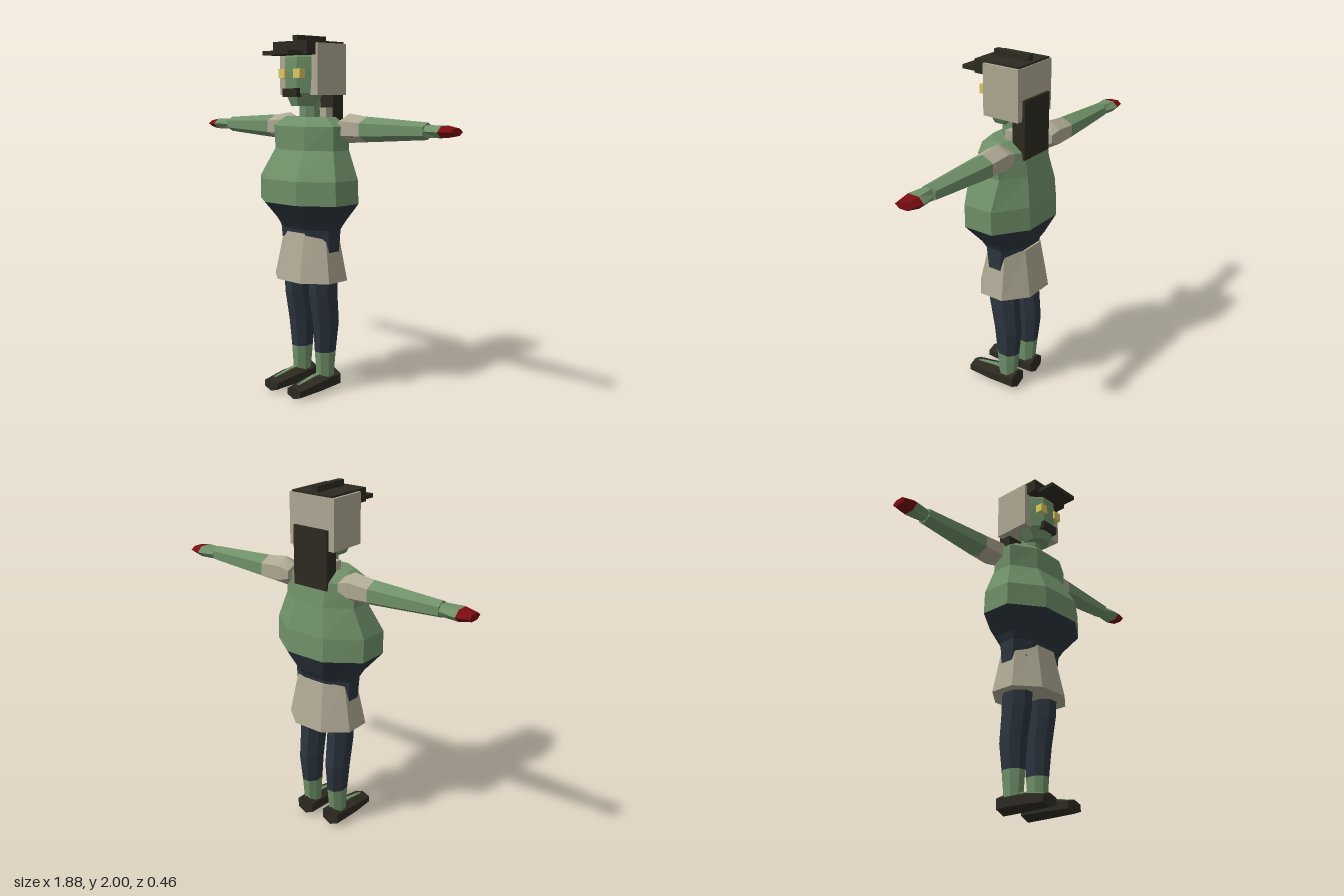
import * as THREE from 'three';

function paint(name, color) {
  const m = new THREE.MeshStandardMaterial({ color });
  m.name = name;
  return m;
}

// Closed faceted loft; each ring is [h, centreA, centreB, halfA, halfB].
// Axis y: A = x, B = z. Axis x: A = y, B = z. Axis z: A = x, B = y.
function loft(axis, rings, sides = 8, phase = Math.PI / sides) {
  const place = {
    x: (h, a, b) => [h, a, b],
    y: (h, a, b) => [a, h, b],
    z: (h, a, b) => [a, b, h],
  }[axis];
  const sign = axis === 'y' ? -1 : 1;
  const unit = [];
  for (let i = 0; i < sides; i++) {
    const t = phase + (i / sides) * Math.PI * 2;
    unit.push([Math.cos(t), sign * Math.sin(t)]);
  }
  const maxA = Math.max(...unit.map((u) => Math.abs(u[0])));
  const maxB = Math.max(...unit.map((u) => Math.abs(u[1])));
  const loops = rings.map(([h, ca, cb, ra, rb]) =>
    unit.map(([a, b]) => place(h, ca + (ra * a) / maxA, cb + (rb * b) / maxB)));
  const centres = rings.map(([h, ca, cb]) => place(h, ca, cb));
  const last = rings.length - 1;
  const pos = [];
  for (let i = 0; i < sides; i++) {
    const j = (i + 1) % sides;
    for (let r = 0; r < last; r++) {
      const [p, q] = [loops[r], loops[r + 1]];
      pos.push(...p[i], ...p[j], ...q[j], ...p[i], ...q[j], ...q[i]);
    }
    pos.push(...centres[0], ...loops[0][j], ...loops[0][i]);
    pos.push(...centres[last], ...loops[last][i], ...loops[last][j]);
  }
  const g = new THREE.BufferGeometry();
  g.setAttribute('position', new THREE.Float32BufferAttribute(pos, 3));
  g.computeVertexNormals();
  return g;
}

// Box given by its limits on each axis
function block(x0, x1, y0, y1, z0, z1) {
  return new THREE.BoxGeometry(x1 - x0, y1 - y0, z1 - z0)
    .translate((x0 + x1) / 2, (y0 + y1) / 2, (z0 + z1) / 2);
}

export function createModel() {
  const green = paint('green skin', 0x6f9068);
  const beige = paint('beige cloth', 0xaea893);
  const navy = paint('navy cloth', 0x2c353f);
  const dark = paint('dark leather', 0x2c2a20);
  const red = paint('red fingertips', 0x7a0c12);
  const yellow = paint('yellow eyes', 0xd8c860);

  const model = new THREE.Group();
  model.name = 'figure';
  const add = (parent, name, geometry, material) => {
    const mesh = new THREE.Mesh(geometry, material);
    mesh.name = name;
    parent.add(mesh);
    return mesh;
  };

  // Torso, hips and skirt
  add(model, 'torso', loft('y', [
    [1.09, 0, -0.015, 0.3, 0.215],
    [1.22, 0, -0.012, 0.3, 0.212],
    [1.38, 0, -0.04, 0.23, 0.15],
    [1.51, 0, -0.03, 0.235, 0.14],
    [1.56, 0, -0.03, 0.16, 0.09],
  ]), green);
  add(model, 'hips', loft('y', [
    [0.8, 0, -0.035, 0.185, 0.09],
    [0.94, 0, -0.033, 0.188, 0.12],
    [0.98, 0, -0.032, 0.21, 0.147],
    [1.09, 0, -0.015, 0.3, 0.215],
  ]), navy);
  add(model, 'skirt', loft('y', [
    [0.65, 0, -0.035, 0.218, 0.175],
    [0.92, 0, -0.038, 0.165, 0.122],
  ]), beige);

  // Neck, collar and head
  add(model, 'neck', loft('y', [
    [1.54, 0, -0.035, 0.06, 0.065],
    [1.66, 0, -0.03, 0.05, 0.06],
  ]), green);
  add(model, 'collar', block(-0.105, 0.105, 1.54, 1.61, -0.11, -0.05), beige);
  add(model, 'head', loft('y', [
    [1.62, 0, 0.02, 0.062, 0.07],
    [1.69, 0, 0.01, 0.1, 0.105],
    [1.8, 0, 0.005, 0.11, 0.115],
    [1.88, 0, 0.005, 0.11, 0.11],
    [1.95, 0, 0, 0.08, 0.085],
  ]), green);
  add(model, 'mouth', block(-0.055, 0.055, 1.668, 1.715, 0.08, 0.127), dark);

  // Hood box, cap and back panel
  add(model, 'hood', block(-0.147, 0.147, 1.68, 1.956, -0.162, 0.06), beige);
  add(model, 'cap', block(-0.132, 0.132, 1.892, 1.966, -0.157, 0.125), dark);
  add(model, 'capBrim', block(-0.1, 0.1, 1.89, 1.912, 0.12, 0.232), dark);
  add(model, 'capCrest', block(-0.018, 0.018, 1.96, 2, -0.135, 0.085), dark);
  add(model, 'backPanel', block(-0.11, 0.11, 1.47, 1.79, -0.178, -0.1), dark);

  // Paired parts, modelled on the left and mirrored
  for (const side of [1, -1]) {
    const half = new THREE.Group();
    half.name = side > 0 ? 'leftSide' : 'rightSide';
    half.scale.x = side;
    model.add(half);

    add(half, 'eye', block(0.033, 0.083, 1.77, 1.82, 0.09, 0.133), yellow);

    // Arm with a pointed hexagonal section
    add(half, 'sleeve', loft('x', [
      [0.17, 1.5, -0.1, 0.045, 0.06],
      [0.235, 1.5, -0.1, 0.08, 0.07],
      [0.36, 1.497, -0.1, 0.068, 0.066],
    ], 6, 0), beige);
    add(half, 'arm', loft('x', [
      [0.36, 1.497, -0.1, 0.068, 0.066],
      [0.5, 1.498, -0.1, 0.06, 0.058],
      [0.765, 1.5, -0.1, 0.044, 0.042],
    ], 6, 0), green);
    add(half, 'hand', loft('x', [
      [0.75, 1.5, -0.1, 0.03, 0.037],
      [0.86, 1.5, -0.1, 0.03, 0.065],
      [0.87, 1.5, -0.1, 0.03, 0.065],
    ], 6, Math.PI / 6), green);
    add(half, 'fingertips', loft('x', [
      [0.87, 1.5, -0.1, 0.03, 0.065],
      [0.94, 1.5, -0.1, 0.018, 0.05],
    ], 6, Math.PI / 6), red);

    // Leg with bare ankle
    add(half, 'trouserLeg', loft('y', [
      [0.23, 0.094, -0.062, 0.053, 0.064],
      [0.39, 0.097, -0.063, 0.064, 0.078],
      [0.56, 0.098, -0.04, 0.068, 0.085],
      [0.85, 0.098, -0.03, 0.07, 0.09],
    ]), navy);
    add(half, 'ankle', loft('y', [
      [0.06, 0.094, -0.06, 0.045, 0.05],
      [0.23, 0.094, -0.062, 0.053, 0.064],
    ]), green);

    // Shoe with a strip of foot showing on top
    add(half, 'shoe', loft('z', [
      [-0.13, 0.095, 0.058, 0.055, 0.056],
      [0.04, 0.095, 0.05, 0.061, 0.05],
      [0.19, 0.095, 0.036, 0.05, 0.036],
    ], 6, Math.PI / 6), dark);
    add(half, 'foot', loft('z', [
      [-0.11, 0.095, 0.09, 0.012, 0.024],
      [0.04, 0.095, 0.08, 0.012, 0.021],
      [0.16, 0.095, 0.06, 0.008, 0.017],
    ], 4), green);
  }

  return model;
}
